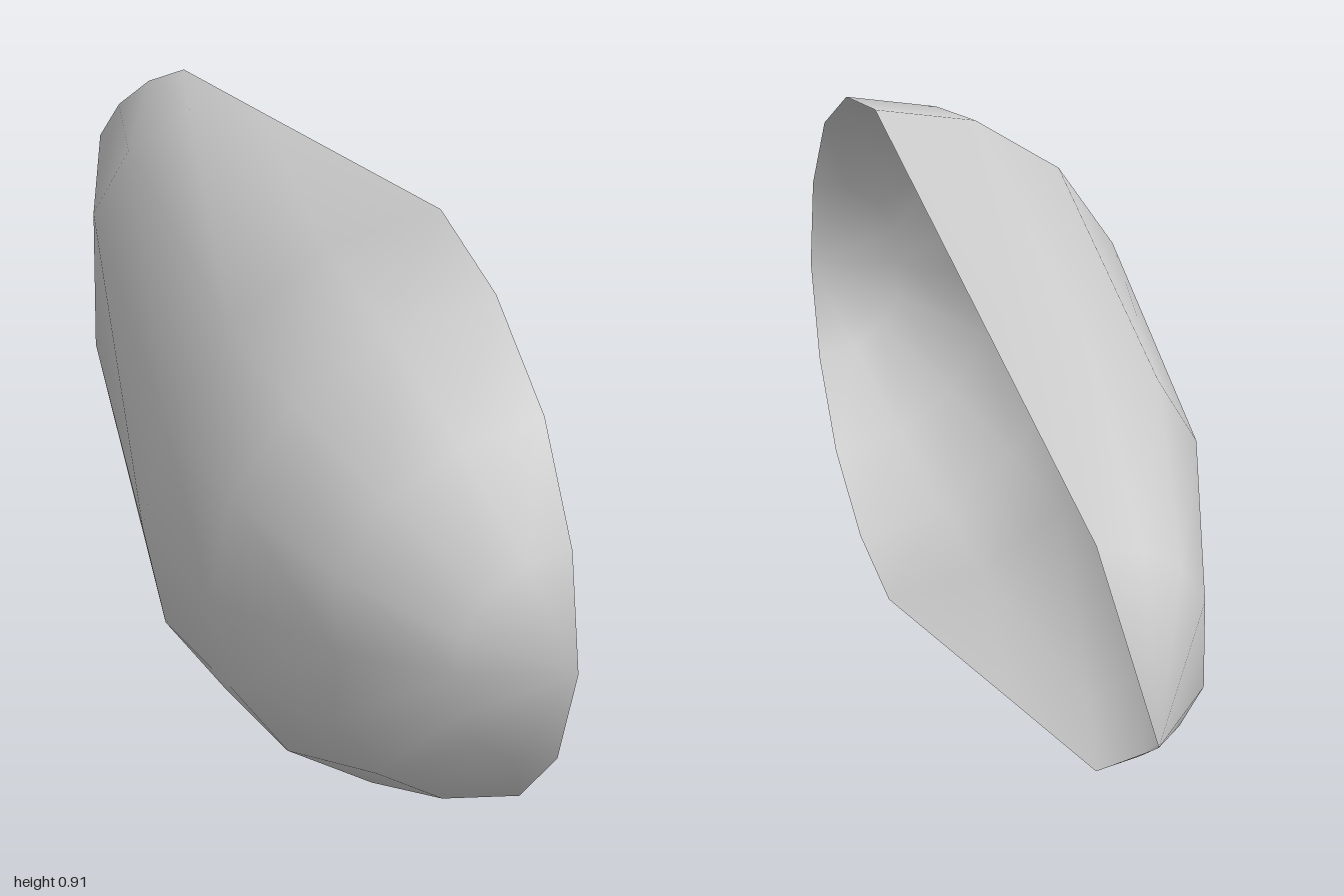
import * as THREE from 'three';

// Open half teardrop: cross-sections from the pointed back to the round front.
// z, radius, greatest depth, greatest half height, half height at the open rim
const SECTIONS = [
  [-1, 0, 0, 0, 0],
  [-0.735, 0.175, 0.16, 0.175, 0.175],
  [-0.32, 0.33, 0.296, 0.294, 0.272],
  [0.458, 0.455, 0.455, 0.455, 0.455],
  [0.664, 0.42, 0.42, 0.42, 0.42],
  [0.842, 0.322, 0.296, 0.322, 0.322],
  [0.955, 0.174, 0.158, 0.174, 0.174],
  [1, 0, 0, 0, 0],
];
const STEPS = 8; // sides of each half ring
const RIM_X = 0.227;
const MID_Y = 0.455;

function shellGeometry() {
  const points = [];
  const rows = [];
  for (const [z, r, maxDepth, maxHeight, rim] of SECTIONS) {
    const row = [];
    for (let j = 0; j <= STEPS; j++) {
      if (r === 0 && j > 0) { row.push(row[0]); continue; } // shared tip
      const a = (j / STEPS - 0.5) * Math.PI;
      const onRim = j === 0 || j === STEPS;
      const depth = onRim ? 0 : Math.min(r * Math.cos(a), maxDepth);
      const height = onRim ? rim : Math.min(Math.abs(r * Math.sin(a)), maxHeight);
      row.push(points.length / 3);
      points.push(RIM_X - depth, MID_Y + Math.sign(a) * height, z);
    }
    rows.push(row);
  }

  // Faces, with diagonals mirrored between the lower and upper halves
  const index = [];
  const tri = (a, b, c) => { if (a !== b && b !== c && a !== c) index.push(a, b, c); };
  for (let i = 0; i < rows.length - 1; i++) {
    for (let j = 0; j < STEPS; j++) {
      const a = rows[i][j], b = rows[i + 1][j], c = rows[i + 1][j + 1], d = rows[i][j + 1];
      if (j < STEPS / 2) { tri(a, b, c); tri(a, c, d); }
      else { tri(a, b, d); tri(b, c, d); }
    }
  }

  const geometry = new THREE.BufferGeometry();
  geometry.setAttribute('position', new THREE.Float32BufferAttribute(points, 3));
  geometry.setIndex(index);
  geometry.computeVertexNormals();
  return geometry;
}

export function createModel() {
  const group = new THREE.Group();
  group.name = 'halfTeardrop';
  const lightGrey = new THREE.MeshStandardMaterial({ color: 0xcccccc, side: THREE.DoubleSide });
  lightGrey.name = 'lightGrey';
  const shell = new THREE.Mesh(shellGeometry(), lightGrey);
  shell.name = 'shell';
  group.add(shell);
  return group;
}
